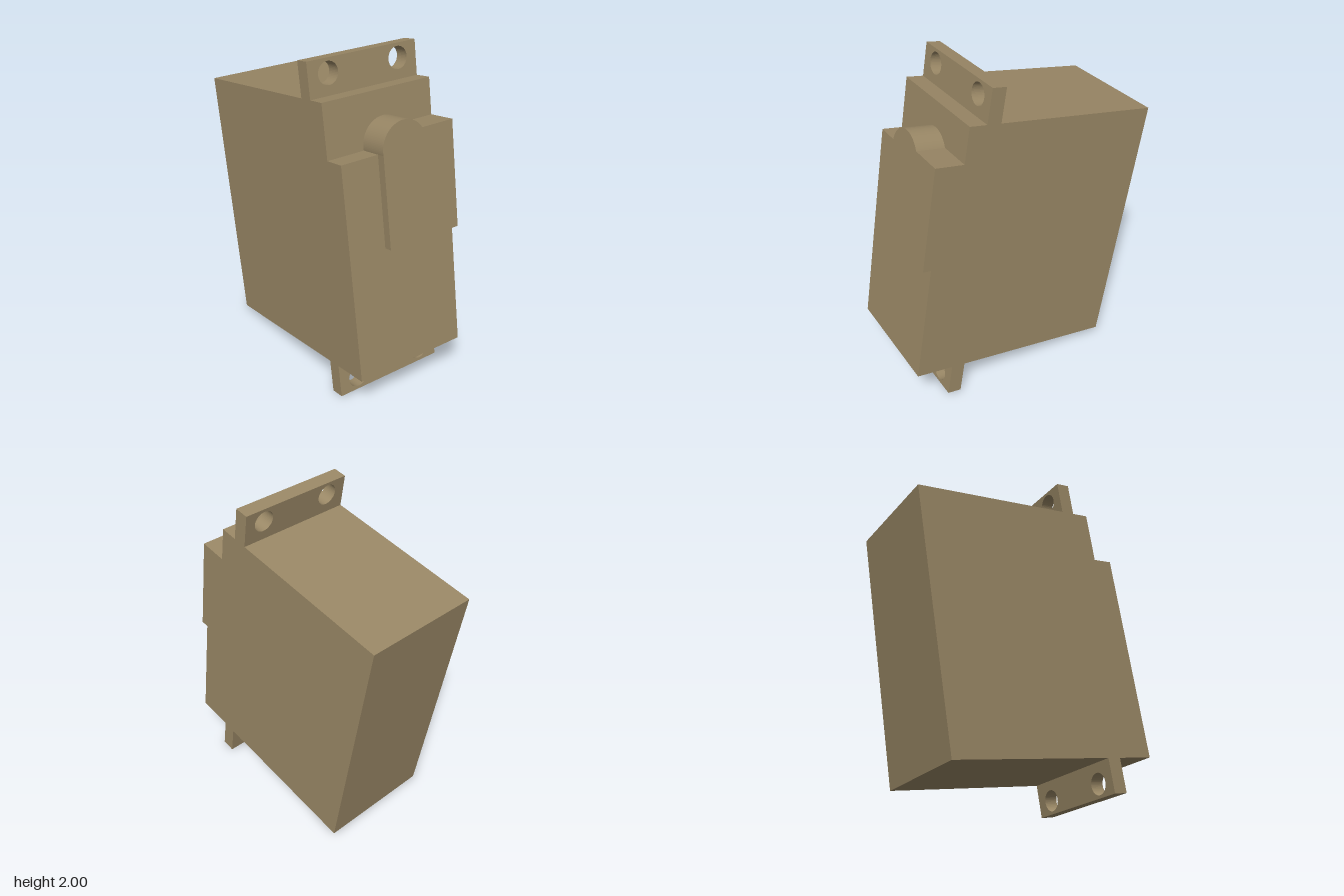
import * as THREE from 'three';

const W = 0.366;        // half width
const H = 1.603;        // case height
const D = 1.228;        // case depth behind the stepped front
const BOSS = { x: 0.023, y: 1.307, r: 0.149 }; // rounded gear boss
const SHOULDER = 1.386; // top of the taller front step
const LOW = 1.288;      // top of the lower front step

export function createModel() {
  const model = new THREE.Group();
  model.name = 'servoMotor';
  const plastic = new THREE.MeshStandardMaterial({ color: 0x9a8866 });
  plastic.name = 'tan plastic';

  // Extrude an outline in x, y from depth z0 to z1
  function addPlate(name, shape, z0, z1) {
    const geo = new THREE.ExtrudeGeometry(shape, { depth: z1 - z0, bevelEnabled: false, curveSegments: 24 });
    geo.translate(0, 0, z0);
    const mesh = new THREE.Mesh(geo, plastic);
    mesh.name = name;
    model.add(mesh);
  }

  function rectangle(y0, y1) {
    const s = new THREE.Shape();
    s.moveTo(-W, y0);
    s.lineTo(W, y0);
    s.lineTo(W, y1);
    s.lineTo(-W, y1);
    s.closePath();
    return s;
  }

  // Right shoulder and rounded boss, shared by both front layers
  function addBossOutline(s) {
    const start = Math.asin((SHOULDER - BOSS.y) / BOSS.r);
    const end = Math.PI + Math.asin((BOSS.y - LOW) / BOSS.r);
    s.lineTo(W, SHOULDER);
    s.lineTo(BOSS.x + BOSS.r * Math.cos(start), SHOULDER);
    s.absarc(BOSS.x, BOSS.y, BOSS.r, start, end, false);
  }

  // Main case
  addPlate('case', rectangle(0, H), 0, D);

  // Front layer with the stepped top
  const front = new THREE.Shape();
  front.moveTo(-W, 0);
  front.lineTo(W, 0);
  addBossOutline(front);
  front.lineTo(-W, LOW);
  front.closePath();
  addPlate('frontLayer', front, D, 1.354);

  // Raised gear cover
  const cover = new THREE.Shape();
  const coverLeft = BOSS.x - BOSS.r;
  cover.moveTo(coverLeft, 0.748);
  cover.lineTo(W, 0.748);
  addBossOutline(cover);
  cover.closePath();
  addPlate('gearCover', cover, 1.354, 1.404);

  // Mounting flanges, each with two screw holes
  for (const [name, y0, y1, holeY] of [
    ['topFlange', H, H + 0.205, H + 0.122],
    ['bottomFlange', -0.205, 0, -0.122],
  ]) {
    const flange = rectangle(y0, y1);
    for (const x of [-0.236, 0.236]) {
      const hole = new THREE.Path();
      hole.absarc(x, holeY, 0.065, 0, Math.PI * 2, true);
      flange.holes.push(hole);
    }
    addPlate(name, flange, 1.034, 1.121);
  }

  // Lean the whole body backwards
  model.rotation.x = -THREE.MathUtils.degToRad(9.55);
  model.position.set(-0.003, 0.0305, -0.5346);
  const group = new THREE.Group();
  group.name = 'model';
  group.add(model);
  return group;
}
